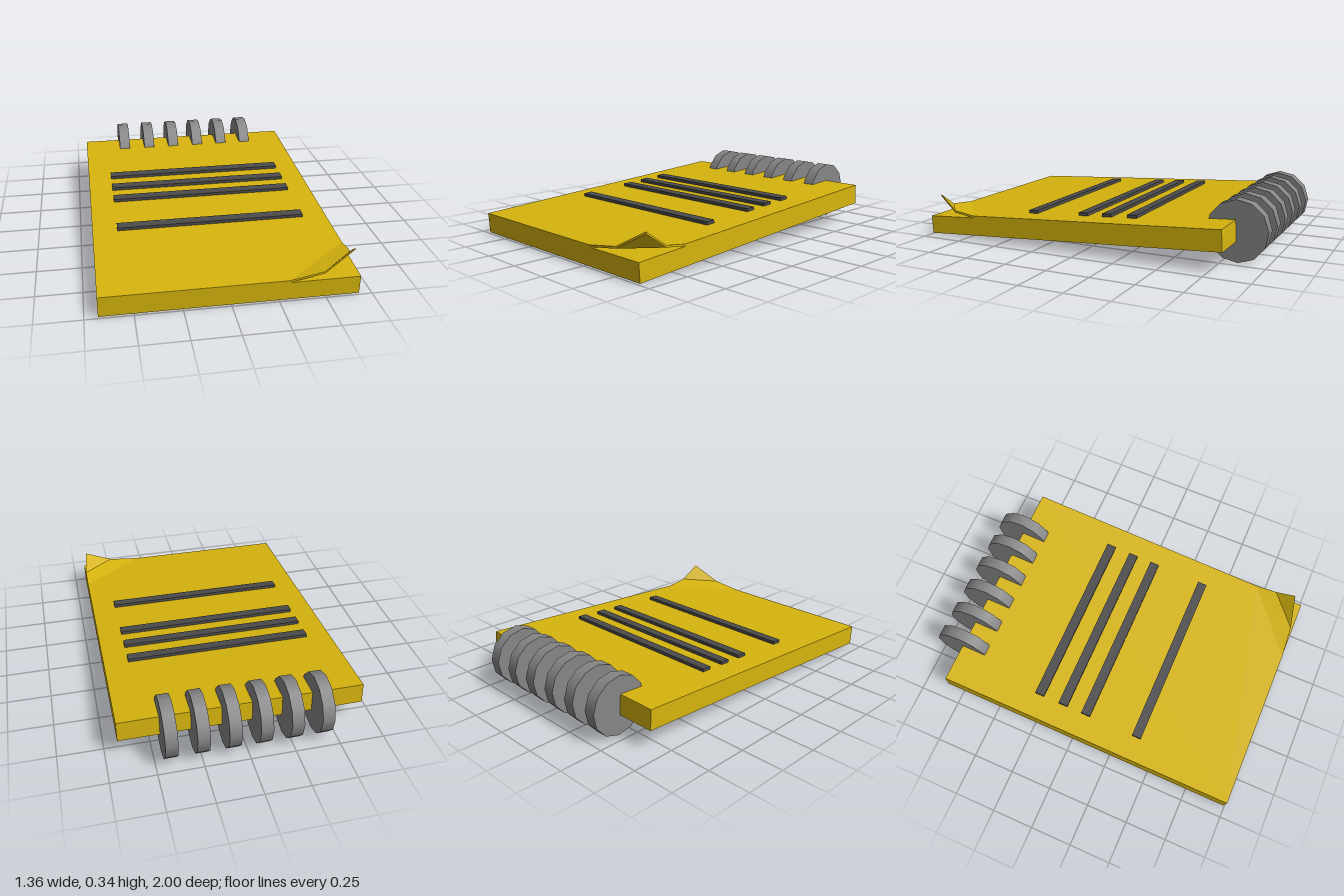
import * as THREE from 'three';

const W = 0.68, L = 0.9115, H = 0.117, T = 0.012; // half width, half length, height, cover thickness

export function createModel() {
  const yellow = new THREE.MeshStandardMaterial({ color: 0xd6b40e });
  yellow.name = 'yellow card';
  const charcoal = new THREE.MeshStandardMaterial({ color: 0x4b4b4b });
  charcoal.name = 'charcoal ink';
  const grey = new THREE.MeshStandardMaterial({ color: 0x868686 });
  grey.name = 'grey binding';

  const pad = new THREE.Group();
  pad.name = 'notepad';
  const add = (name, geometry, material, x = 0, y = 0, z = 0) => {
    const mesh = new THREE.Mesh(geometry, material);
    mesh.name = name;
    mesh.position.set(x, y, z);
    pad.add(mesh);
    return mesh;
  };

  // Block of pages
  add('pageBlock', new THREE.BoxGeometry(2 * W, H - T, 2 * L), yellow, 0, (H - T) / 2, 0);

  // Flat part of the cover, with the curled corner cut off
  const outline = [[-W, L], [0.3, L], [W, 0.6], [W, -L], [-W, -L]];
  const shape = new THREE.Shape(outline.map(([x, z]) => new THREE.Vector2(x, -z)));
  const cover = new THREE.ExtrudeGeometry(shape, { depth: T, bevelEnabled: false });
  cover.rotateX(-Math.PI / 2);
  add('cover', cover, yellow, 0, H - T, 0);

  // Curled corner: fold line, middle row and tip
  add('curledCorner', curlGeometry(), yellow);

  // Ruled text lines
  for (const z of [-0.354, -0.201, -0.053, 0.277]) {
    add('ruledLine', new THREE.BoxGeometry(1.08, 0.022, 0.057), charcoal, 0, H + 0.007, z);
  }

  // Binding rings along the back edge
  const ring = new THREE.CylinderGeometry(0.17, 0.17, 0.068, 12);
  ring.rotateZ(Math.PI / 2);
  for (let i = 0; i < 6; i++) {
    add('bindingRing', ring, grey, (i - 2.5) * 0.168, 0.054, -0.917);
  }

  // The pad leans on its rings
  pad.position.set(0, 0.0655, 0.083);
  pad.rotation.x = 0.0603;

  const model = new THREE.Group();
  model.name = 'spiralNotepad';
  model.add(pad);
  return model;
}

function curlGeometry() {
  // Outer edge, counter-clockwise seen from above
  const top = [
    [0.3, H, L], [0.49, 0.142, 0.895], [0.66, 0.235, 0.839], [W, 0.143, 0.73], [W, H, 0.6],
  ];
  const low = top.map(([x, y, z]) => [x, y - T, z]);
  const pos = [];
  const tri = (...points) => points.forEach((p) => pos.push(...p));
  for (const [a, b, c] of [[0, 1, 4], [1, 3, 4], [1, 2, 3]]) {
    tri(top[a], top[b], top[c]);
    tri(low[a], low[c], low[b]);
  }
  for (let i = 0; i < 4; i++) {
    tri(low[i], low[i + 1], top[i + 1]);
    tri(low[i], top[i + 1], top[i]);
  }
  const geometry = new THREE.BufferGeometry();
  geometry.setAttribute('position', new THREE.Float32BufferAttribute(pos, 3));
  geometry.computeVertexNormals();
  return geometry;
}
